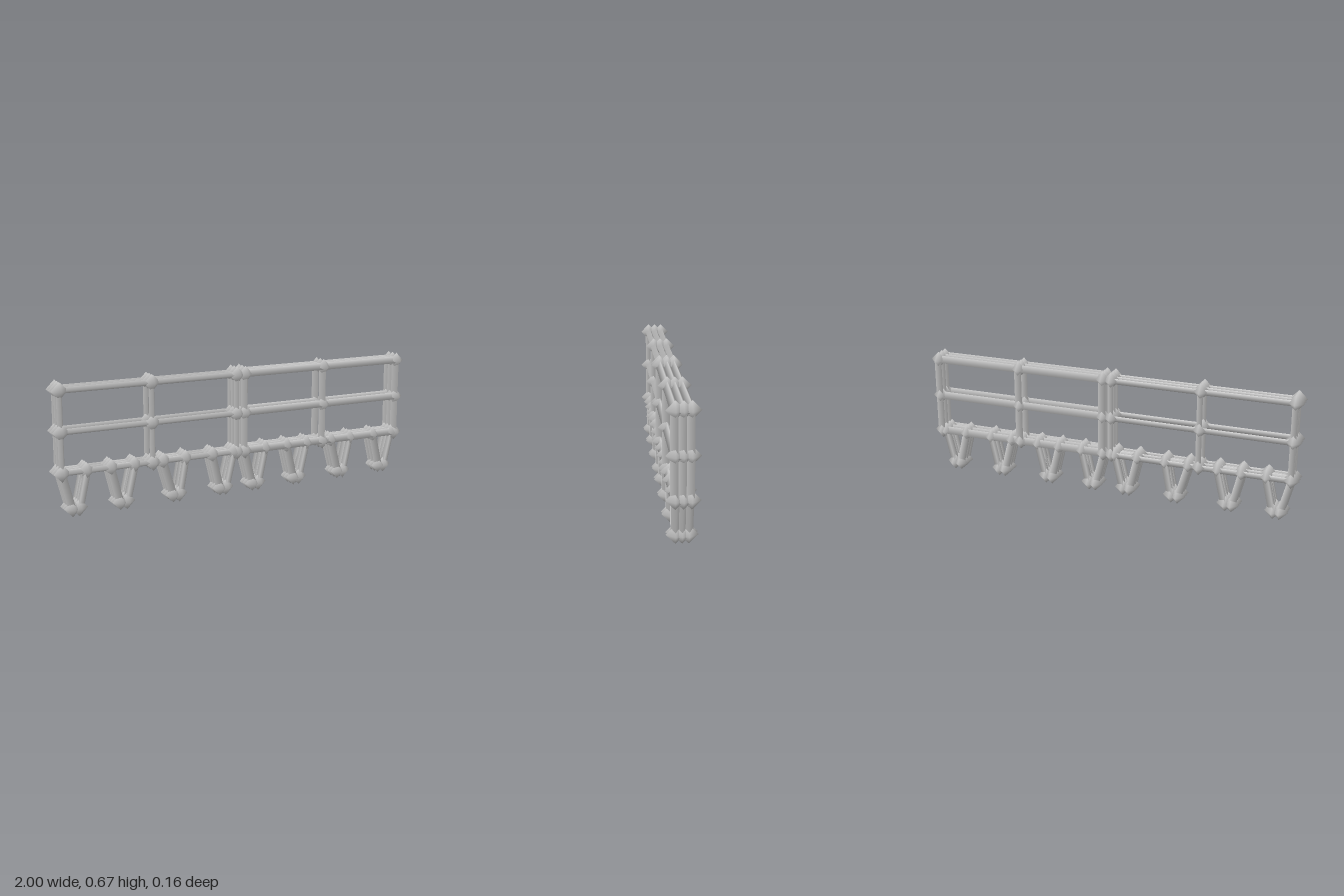
import * as THREE from 'three';
import { mergeGeometries } from 'three/addons/utils/BufferGeometryUtils.js';

const NODE_R = 0.043, BAR_R = 0.023, SLIM_R = 0.017;
const material = new THREE.MeshStandardMaterial({ color: 0xcccccc, side: THREE.DoubleSide });
const V = (x, y, z) => new THREE.Vector3(x, y, z);

// Diamond joint with softened shading
function node(p) {
  return new THREE.SphereGeometry(NODE_R, 4, 2).translate(p.x, p.y, p.z);
}

// Three-sided open bar from a to b with one ridge facing "ridge"
function bar(a, b, ridge, radius) {
  const dir = b.clone().sub(a), len = dir.length();
  dir.normalize();
  const x = dir.clone().cross(ridge).normalize();
  const z = x.clone().cross(dir);
  const m = new THREE.Matrix4().makeBasis(x, dir, z);
  m.setPosition(a.clone().add(b).multiplyScalar(0.5));
  return new THREE.CylinderGeometry(radius, radius, len, 3, 1, true).applyMatrix4(m);
}

function addPart(group, name, geometries) {
  const mesh = new THREE.Mesh(mergeGeometries(geometries), material);
  mesh.name = name;
  group.add(mesh);
}

// Shallow box frame, two cells in each direction, with bars only on its outside
function railPanel(name, xs, radius, railRidge) {
  const group = new THREE.Group();
  group.name = name;
  const ys = [0.222, 0.422, 0.622], zs = [-0.036, 0, 0.036];
  const nodes = [], posts = [], rails = [], ties = [];
  const at = (i, j, k) => V(xs[i], ys[j], zs[k]);
  for (let i = 0; i < 3; i++) for (let j = 0; j < 3; j++) for (let k = 0; k < 3; k++) {
    if (i === 1 && j === 1 && k === 1) continue;
    nodes.push(node(at(i, j, k)));
    if (j < 2 && (i !== 1 || k !== 1)) posts.push(bar(at(i, j, k), at(i, j + 1, k), V(0, 0, 1), radius));
    if (i < 2 && (j !== 1 || k !== 1)) rails.push(bar(at(i, j, k), at(i + 1, j, k), railRidge, radius));
    if (k < 2 && (i !== 1 || j !== 1)) ties.push(bar(at(i, j, k), at(i, j, k + 1), V(0, 1, 0), radius));
  }
  addPart(group, 'joints', nodes);
  addPart(group, 'posts', posts);
  addPart(group, 'rails', rails);
  addPart(group, 'depthTies', ties);
  return group;
}

// Tapered foot: three layers of V-shaped legs
function foot(name, topX, bottomX) {
  const group = new THREE.Group();
  group.name = name;
  const nodes = [], legs = [], ties = [];
  const zs = [-0.03, 0, 0.03];
  const top = (s, z) => V(topX + s * 0.06, 0.222, z);
  const low = (s, z) => V(bottomX + s * 0.017, 0.043, z);
  zs.forEach((z, k) => {
    for (const s of [-1, 1]) {
      nodes.push(node(top(s, z)), node(low(s, z)));
      legs.push(bar(low(s, z), top(s, z), V(s, 0, 0), BAR_R));
      if (k < 2) for (const p of [top, low]) ties.push(bar(p(s, z), p(s, zs[k + 1]), V(0, 1, 0), BAR_R));
    }
    for (const p of [top, low]) ties.push(bar(p(-1, z), p(1, z), V(0, 1, 0), SLIM_R));
  });
  addPart(group, 'joints', nodes);
  addPart(group, 'legs', legs);
  addPart(group, 'ties', ties);
  return group;
}

export function createModel() {
  const model = new THREE.Group();
  model.name = 'railing';
  model.add(railPanel('rightPanel', [-0.957, -0.49, -0.023], SLIM_R, V(0, 0, 1)));
  model.add(railPanel('leftPanel', [0.023, 0.49, 0.957], BAR_R, V(0, 1, 0)));

  // Top and bottom centre of each foot
  const feet = [
    [-0.895, -0.893], [-0.648, -0.648], [-0.374, -0.365], [-0.103, -0.103],
    [0.082, 0.086], [0.332, 0.333], [0.606, 0.61], [0.877, 0.878],
  ];
  feet.forEach(([t, b], i) => model.add(foot('foot' + (i + 1), t, b)));
  return model;
}
